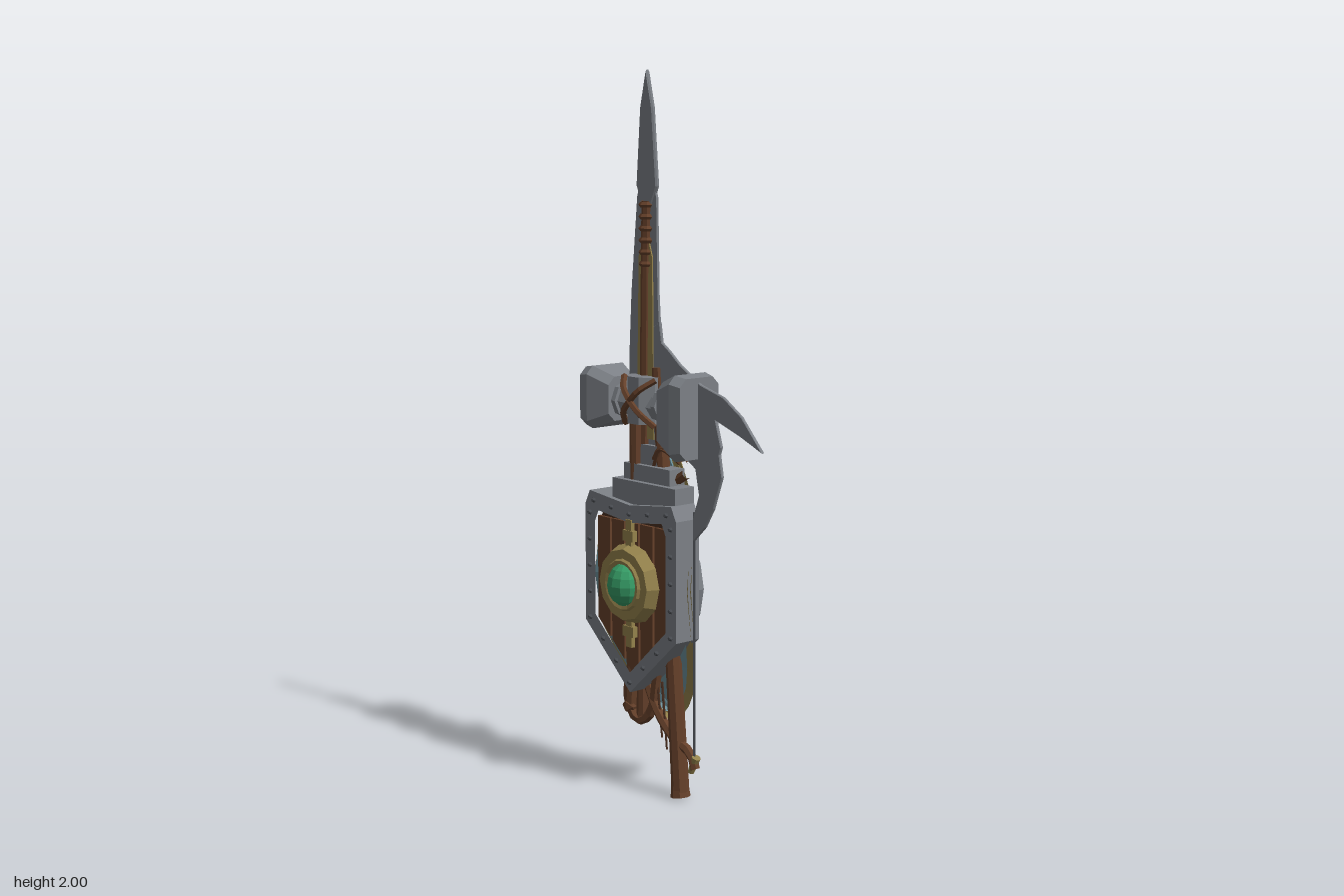
import * as THREE from 'three';

const mat = (name, color, double) => {
  const m = new THREE.MeshStandardMaterial({ color, flatShading: true });
  m.name = name;
  if (double) m.side = THREE.DoubleSide;
  return m;
};

export function createModel() {
  const steel = mat('steel', 0x7c8086), wood = mat('wood', 0x65402a), plankDark = mat('dark wood', 0x4a2f20);
  const gold = mat('brass', 0x94824c, true), teal = mat('teal paint', 0x6d929d, true);
  const green = mat('green gem', 0x369c66), iron = mat('dark iron', 0x4a4d52);
  const root = new THREE.Group();
  const CX = -0.13;

  const add = (name, geo, m, x = 0, y = 0, z = 0, parent = root) => {
    const mesh = new THREE.Mesh(geo, m);
    mesh.name = name;
    mesh.position.set(x, y, z);
    parent.add(mesh);
    return mesh;
  };
  const box = (name, m, x0, x1, y0, y1, z0, z1) =>
    add(name, new THREE.BoxGeometry(x1 - x0, y1 - y0, z1 - z0), m, (x0 + x1) / 2, (y0 + y1) / 2, (z0 + z1) / 2);
  const shapeOf = (pts) => new THREE.Shape(pts.map(([x, y]) => new THREE.Vector2(x, y)));
  // flat plate centred on z
  const plate = (name, pts, t, m, z = 0, bevel = 0) => add(name, new THREE.ExtrudeGeometry(shapeOf(pts), {
    depth: t, bevelEnabled: bevel > 0, bevelThickness: bevel, bevelSize: bevel, bevelOffset: -bevel, bevelSegments: 1,
  }), m, 0, 0, z - t / 2);
  const tube = (name, pts, r, m, seg = 16, sides = 6) => add(name, new THREE.TubeGeometry(
    new THREE.CatmullRomCurve3(pts.map((p) => new THREE.Vector3(...p))), seg, r, sides), m);
  // tapered rod between two points
  const rod = (name, a, b, ra, rb, m, sides = 8) => {
    const A = new THREE.Vector3(...a), B = new THREE.Vector3(...b), d = B.clone().sub(A);
    const mesh = add(name, new THREE.CylinderGeometry(rb, ra, d.length(), sides), m);
    mesh.position.copy(A).add(B).multiplyScalar(0.5);
    mesh.quaternion.setFromUnitVectors(new THREE.Vector3(0, 1, 0), d.normalize());
    return mesh;
  };

  // Spear
  plate('spearHead', [[-0.145, 1.64], [-0.168, 1.69], [-0.152, 1.9], [-0.126, 2], [-0.1, 1.9], [-0.083, 1.69], [-0.105, 1.64]],
    0.006, steel, 0, 0.004);
  rod('spearShaft', [-0.15, 0.2, 0], [-0.126, 1.65, 0], 0.019, 0.017, wood);
  for (let i = 0; i < 6; i++) {
    const ring = add('spearGripRing', new THREE.TorusGeometry(0.017, 0.008, 5, 8), wood, -0.127, 1.48 + i * 0.032, 0);
    ring.rotation.x = Math.PI / 2;
  }

  // Greatsword with brass fuller, and its stepped guard
  plate('swordBlade', [[-0.2, 0.82], [-0.2, 1.22], [-0.19, 1.4], [-0.165, 1.66], [-0.126, 1.8], [-0.087, 1.66],
    [-0.082, 1.4], [-0.07, 1.22], [-0.06, 0.82]], 0.008, steel);
  plate('swordFuller', [[-0.165, 1.0], [-0.155, 1.5], [-0.126, 1.58], [-0.1, 1.5], [-0.095, 1.0]], 0.016, gold);
  box('swordGuardLower', steel, -0.22, 0.04, 0.82, 0.885, -0.02, 0.05);
  box('swordGuardMiddle', steel, -0.19, 0.0, 0.88, 0.93, -0.02, 0.033);
  box('swordGuardUpper', steel, -0.18, -0.07, 0.92, 0.985, -0.015, 0.018);
  rod('swordGrip', [-0.19, 0.22, 0.01], [-0.14, 0.84, 0], 0.02, 0.02, wood);
  add('swordPommel', new THREE.IcosahedronGeometry(0.026), wood, -0.19, 0.23, 0.01);

  // Axe
  plate('axeBlade', [[-0.12, 1.3], [-0.074, 1.325], [-0.065, 1.27], [-0.035, 1.25], [0.01, 1.215], [0.09, 1.17], [0.18, 1.145],
    [0.25, 1.1], [0.328, 1.013], [0.238, 1.05], [0.15, 1.08], [0.172, 1.01], [0.165, 0.99], [0.176, 0.93], [0.143, 0.84],
    [0.11, 0.785], [0.063, 0.74], [0.06, 0.8], [0.085, 0.87], [0.07, 0.94], [0.01, 0.975], [-0.1, 1.0]], 0.006, steel, 0, 0.002);
  rod('axeHandle', [0.008, 0.012, 0], [-0.085, 1.2, 0], 0.025, 0.017, wood);
  rod('axeHandleEnd', [0.008, 0.008, 0], [0, 0.06, 0], 0.028, 0.022, wood);

  // War hammer: heads lofted from chamfered rectangles along x
  const loftHead = (name, yc, sections) => {
    const pos = [], idx = [];
    for (const [x, hy, hz] of sections) {
      const c = 0.022;
      for (const [y, z] of [[hy, hz - c], [hy - c, hz], [c - hy, hz], [-hy, hz - c], [-hy, c - hz], [c - hy, -hz], [hy - c, -hz], [hy, c - hz]])
        pos.push(x, yc + y, z);
    }
    const n = sections.length;
    for (let s = 0; s < n - 1; s++) for (let i = 0; i < 8; i++) {
      const a = s * 8 + i, b = s * 8 + (i + 1) % 8;
      idx.push(a, b, a + 8, b, b + 8, a + 8);
    }
    for (let i = 1; i < 7; i++) {
      idx.push(0, i + 1, i);
      idx.push((n - 1) * 8, (n - 1) * 8 + i, (n - 1) * 8 + i + 1);
    }
    const g = new THREE.BufferGeometry();
    g.setAttribute('position', new THREE.Float32BufferAttribute(pos, 3));
    g.setIndex(idx);
    const flat = g.toNonIndexed();
    flat.computeVertexNormals();
    add(name, flat, steel);
  };
  loftHead('hammerHeadRight', 1.102, [[-0.335, 0.082, 0.07], [-0.298, 0.088, 0.077], [-0.23, 0.062, 0.055]]);
  loftHead('hammerHeadLeft', 1.078, [[-0.028, 0.09, 0.055], [0.045, 0.117, 0.077], [0.082, 0.11, 0.07]]);
  rod('hammerNeck', [-0.235, 1.1, 0], [-0.02, 1.09, 0], 0.042, 0.042, steel);
  for (const x of [-0.215, -0.05]) rod('hammerCollar', [x - 0.008, 1.1, 0], [x + 0.008, 1.1, 0], 0.052, 0.052, steel);
  const hub = add('hammerHub', new THREE.CylinderGeometry(0.06, 0.06, 0.13, 8), steel, -0.126, 1.11, 0);
  hub.rotation.y = Math.PI / 8;
  rod('hammerHandle', [-0.16, 0.3, 0.012], [-0.155, 1.06, 0.018], 0.019, 0.019, wood);

  // Rope lashings crossing over the bundle, front and back
  for (const s of [1, -1]) for (const k of [1, -1]) {
    tube('ropeLashing', [[-0.126 - 0.06 * k, 1.04, s * 0.03], [-0.126 - 0.03 * k, 1.08, s * 0.063], [-0.126, 1.11, s * 0.068],
      [-0.126 + 0.03 * k, 1.14, s * 0.063], [-0.126 + 0.065 * k, 1.17, s * 0.03]], 0.009, wood, 12, 5);
    tube('lowerRope', [[-0.03 - 0.055 * k, 0.95, s * 0.015], [-0.04, 0.985, s * 0.03], [-0.03 + 0.055 * k, 0.96 + 0.03 * k, s * 0.014]],
      0.007, wood, 8, 5);
  }

  // Bow, string and loose cord ends
  tube('bowLimb', [[0.068, 0.1, 0], [0.05, 0.14, 0], [-0.02, 0.17, 0], [-0.1, 0.25, 0], [-0.15, 0.4, 0.005], [-0.15, 0.65, 0.005],
    [-0.09, 0.84, 0], [0.03, 0.92, 0]], 0.014, wood, 32);
  rod('bowTip', [0.05, 0.088, 0], [0.072, 0.135, 0], 0.009, 0.013, gold);
  rod('bowString', [0.064, 0.1, 0], [0.062, 0.82, 0], 0.004, 0.004, iron, 5);
  tube('strapLoop', [[-0.2, 0.34, 0], [-0.2, 0.25, 0.01], [-0.16, 0.195, 0.01], [-0.12, 0.22, 0], [-0.09, 0.34, 0]], 0.015, wood);
  for (const [x, y] of [[-0.05, 0.13], [-0.07, 0.16]]) rod('cordEnd', [x, y, 0], [x - 0.02, 0.32, 0], 0.003, 0.004, plankDark, 5);

  // Oval shield: rows of [y, half width, z], edges pushed forward of the ridge
  const rows = [[0.18, 0.018, -0.125], [0.24, 0.085, -0.103], [0.29, 0.125, -0.085], [0.36, 0.16, -0.06], [0.45, 0.192, -0.028],
    [0.6, 0.196, -0.01], [0.75, 0.188, -0.024], [0.84, 0.155, -0.055], [0.9, 0.1, -0.078], [0.975, 0.03, -0.1]];
  const ovalSheet = (name, m, k, dz) => {
    const pos = [], idx = [], cols = [-1, -0.5, 0, 0.5, 1];
    for (const [y, w, z] of rows) for (const c of cols)
      pos.push(CX + c * w * k, 0.58 + (y - 0.58) * k, z + dz + 0.025 * c * c);
    for (let r = 0; r < rows.length - 1; r++) for (let c = 0; c < 4; c++) {
      const a = r * 5 + c, b = a + 5;
      idx.push(a, a + 1, b, a + 1, b + 1, b);
    }
    const g = new THREE.BufferGeometry();
    g.setAttribute('position', new THREE.Float32BufferAttribute(pos, 3));
    g.setIndex(idx);
    g.computeVertexNormals();
    add(name, g, m);
  };
  ovalSheet('ovalShieldBack', gold, 1, 0);
  ovalSheet('ovalShieldRim', gold, 1, 0.012);
  ovalSheet('ovalShieldFace', teal, 0.94, 0.022);
  rod('ovalShieldTopRidge', [CX, 0.83, -0.06], [CX, 0.97, -0.1], 0.011, 0.011, gold, 4);
  rod('ovalShieldBottomRidge', [CX, 0.18, -0.122], [CX, 0.33, -0.07], 0.011, 0.011, gold, 4);

  // Backing disc with rivets, arm straps and grip
  const disc = add('backDisc', new THREE.CylinderGeometry(0.188, 0.188, 0.03, 16), steel, CX, 0.6, -0.025);
  disc.rotation.x = Math.PI / 2;
  for (let i = 0; i < 4; i++) {
    const a = Math.PI / 4 + i * Math.PI / 2;
    add('discRivet', new THREE.IcosahedronGeometry(0.01), iron, CX + Math.cos(a) * 0.165, 0.6 + Math.sin(a) * 0.165, -0.041);
  }
  for (const s of [-1, 1]) {
    const x = CX + s * 0.055;
    const strap = tube('armStrap', [[0, 0.5, -0.035], [0, 0.535, -0.06], [0, 0.6, -0.068], [0, 0.665, -0.06], [0, 0.7, -0.035]], 0.008, wood, 12);
    strap.scale.x = 2.6;
    strap.position.x = x;
    for (const y of [0.5, 0.7]) box('strapAnchor', plankDark, x - 0.022, x + 0.022, y - 0.014, y + 0.014, -0.048, -0.036);
  }
  box('centreGrip', wood, CX - 0.009, CX + 0.009, 0.49, 0.71, -0.055, -0.038);

  // Plank shield with a steel rim
  const outline = [[-0.32, 0.8], [-0.3, 0.84], [CX, 0.82], [0.042, 0.84], [0.062, 0.8], [0.062, 0.465], [CX, 0.29], [-0.32, 0.465]];
  const inner = outline.map(([x, y]) => [CX + (x - CX) * 0.78, 0.575 + (y - 0.575) * 0.8]);
  const rimShape = shapeOf(outline);
  rimShape.holes.push(new THREE.Path(inner.map(([x, y]) => new THREE.Vector2(x, y))));
  add('shieldRim', new THREE.ExtrudeGeometry(rimShape, { depth: 0.084, bevelEnabled: false }), steel, 0, 0, -0.018);
  plate('shieldBacking', inner, 0.05, plankDark, 0.022);
  const n = 5, pw = 0.3 / n;
  for (let i = 0; i < n; i++) {
    const x0 = CX - 0.15 + i * pw + 0.004, x1 = x0 + pw - 0.008;
    const low = (x) => 0.347 + Math.abs(x - CX) * 0.9;
    const pts = [[x0, 0.77], [x0, low(x0)], [x1, low(x1)], [x1, 0.77]];
    if (i === 2) pts.splice(2, 0, [CX, 0.347]);
    plate('shieldPlank', pts, 0.012, wood, 0.051);
  }
  // rim rivets spaced along the band
  const mid = outline.map(([x, y]) => [CX + (x - CX) * 0.89, 0.575 + (y - 0.575) * 0.9]);
  mid.forEach(([x, y], i) => {
    const [u, v] = mid[(i + 1) % mid.length];
    const count = Math.max(1, Math.round(Math.hypot(u - x, v - y) / 0.085));
    for (let k = 0; k < count; k++)
      add('rimRivet', new THREE.IcosahedronGeometry(0.008), iron, x + (u - x) * k / count, y + (v - y) * k / count, 0.067);
  });

  // Boss, tabs and gem
  const boss = add('shieldBoss', new THREE.CylinderGeometry(0.1, 0.115, 0.035, 12), gold, CX, 0.6, 0.073);
  boss.rotation.x = Math.PI / 2;
  const lip = add('bossLip', new THREE.TorusGeometry(0.066, 0.009, 5, 16), gold, CX, 0.6, 0.089);
  lip.name = 'bossLip';
  for (const y of [0.735, 0.465]) {
    box('bossTab', gold, CX - 0.012, CX + 0.012, y - 0.045, y + 0.045, 0.055, 0.07);
    box('bossTabEnd', gold, CX - 0.022, CX + 0.022, y - 0.015, y + 0.015, 0.055, 0.073);
  }
  const gem = add('gem', new THREE.SphereGeometry(0.055, 12, 8), green, CX, 0.6, 0.08);
  gem.scale.set(1, 1.12, 0.93);

  // Centre the longest overhang on z
  return root;
}
